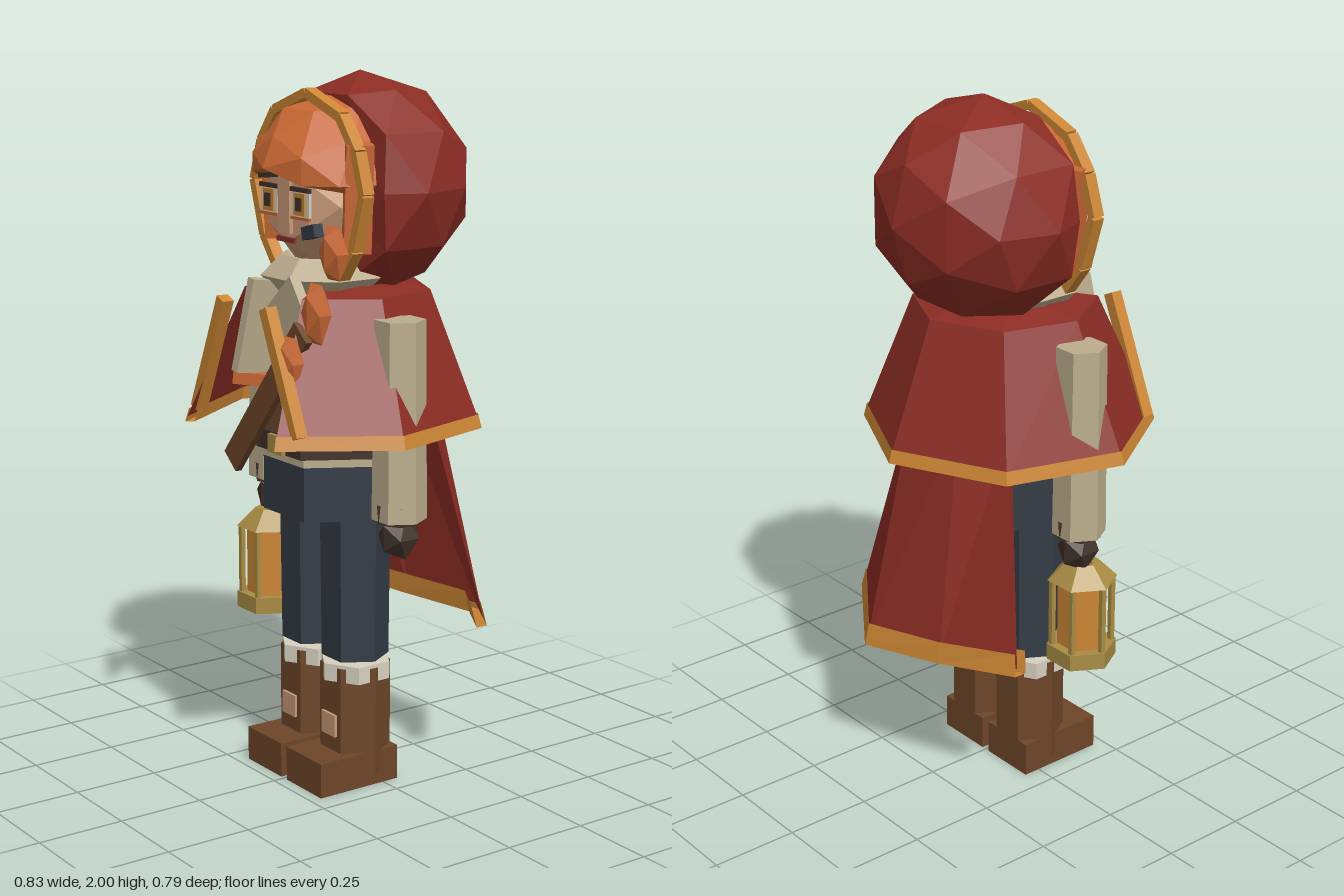
import * as THREE from 'three';

const mat = (name, color, side = THREE.FrontSide) => {
  const m = new THREE.MeshStandardMaterial({ color, flatShading: true, side });
  m.name = name;
  return m;
};

export function createModel() {
  const model = new THREE.Group();
  model.name = 'hoodedTraveller';
  const red = mat('cloak red', 0x8c2d24, THREE.DoubleSide);
  const gold = mat('gold trim', 0xcc8634, THREE.DoubleSide);
  const orange = mat('hair orange', 0xca6834);
  const skin = mat('skin', 0xcb9a78);
  const cream = mat('cream cloth', 0xbcad8d);
  const brown = mat('leather brown', 0x6e4629);
  const dark = mat('dark leather', 0x41312a);
  const navy = mat('trouser navy', 0x343c45);
  const white = mat('off white', 0xd6d0c0);
  const brass = mat('brass', 0xa98c44);

  // Helpers
  const add = (name, geo, material, x = 0, y = 0, z = 0, parent = model) => {
    const m = new THREE.Mesh(geo, material);
    m.name = name;
    m.position.set(x, y, z);
    parent.add(m);
    return m;
  };
  const box = (name, material, w, h, d, x, y, z, parent) =>
    add(name, new THREE.BoxGeometry(w, h, d), material, x, y, z, parent);
  // Hexagonal prism between two heights; a flat side faces the front unless turned
  const hex = (name, material, rTop, rBottom, y0, y1, x, z, parent, turn = Math.PI / 6) =>
    add(name, new THREE.CylinderGeometry(rTop, rBottom, y1 - y0, 6, 1, false, turn),
      material, x, (y0 + y1) / 2, z, parent);
  const beam = (name, material, a, b, w, d, parent) => {
    const p = new THREE.Vector3(...a), q = new THREE.Vector3(...b);
    const m = box(name, material, w, p.distanceTo(q), d, 0, 0, 0, parent);
    m.position.copy(p).lerp(q, 0.5);
    m.quaternion.setFromUnitVectors(new THREE.Vector3(0, 1, 0), q.sub(p).normalize());
    return m;
  };
  // Faceted ball whose points are moved by a rule
  const ball = (r, rule) => {
    const g = new THREE.IcosahedronGeometry(r, 1), p = g.attributes.position;
    const v = new THREE.Vector3();
    for (let i = 0; i < p.count; i++) {
      rule(v.fromBufferAttribute(p, i));
      p.setXYZ(i, v.x, v.y, v.z);
    }
    g.computeVertexNormals();
    return g;
  };
  // Surface through rows of points, first row uppermost, points running from +x to -x
  const loft = (rows) => {
    const pos = [];
    for (let r = 0; r < rows.length - 1; r++)
      for (let i = 0; i < rows[r].length - 1; i++) {
        const a = rows[r][i], b = rows[r][i + 1], c = rows[r + 1][i], d = rows[r + 1][i + 1];
        pos.push(...a, ...b, ...c, ...b, ...d, ...c);
      }
    const g = new THREE.BufferGeometry();
    g.setAttribute('position', new THREE.Float32BufferAttribute(pos, 3));
    g.computeVertexNormals();
    return g;
  };

  // Legs, boots and arms
  const BZ = 0.037;
  for (const s of [-1, 1]) {
    const leg = new THREE.Group();
    leg.name = s > 0 ? 'leftLeg' : 'rightLeg';
    model.add(leg);
    const x = s * 0.1;
    hex('trouserLeg', navy, 0.1, 0.095, 0.37, 0.86, x, BZ, leg);
    hex('bootShaft', brown, 0.1, 0.1, 0.03, 0.35, x, BZ, leg);
    hex('bootCuff', white, 0.106, 0.106, 0.31, 0.36, x, BZ, leg, 0);
    box('bootFoot', brown, 0.172, 0.1, 0.265, x, 0.05, 0.083, leg);
    box('bootPatch', skin, 0.065, 0.065, 0.009, x, 0.178, 0.127, leg);

    const arm = new THREE.Group();
    arm.name = s > 0 ? 'leftArm' : 'rightArm';
    model.add(arm);
    hex('sleeve', cream, 0.07, 0.076, 0.81, 1.36, s * 0.305, BZ, arm);
    hex('gloveCuff', dark, 0.07, 0.066, 0.8, 0.855, s * 0.3, BZ, arm, 0);
    add('glove', new THREE.IcosahedronGeometry(0.06, 0), dark, s * 0.303, 0.76, BZ, arm)
      .scale.y = 1.15;
  }

  // Torso, belt and strap
  hex('hips', navy, 0.2, 0.2, 0.78, 0.945, 0, BZ);
  hex('shirtHem', cream, 0.203, 0.203, 0.935, 0.96, 0, BZ);
  hex('vest', brown, 0.19, 0.198, 0.96, 1.28, 0, BZ);
  hex('shirt', cream, 0.16, 0.19, 1.28, 1.42, 0, BZ);
  hex('belt', dark, 0.22, 0.22, 0.96, 1.015, 0, BZ);
  box('buckle', brass, 0.07, 0.052, 0.03, 0, 0.986, 0.225);
  beam('shoulderStrap', brown, [-0.175, 0.91, 0.265], [0.18, 1.33, 0.265], 0.075, 0.02);

  // Scarf
  const scarf = add('scarf', new THREE.TorusGeometry(0.125, 0.055, 4, 8), cream, 0, 1.45, 0.07);
  scarf.rotation.set(Math.PI / 2, 0, Math.PI / 8);
  beam('scarfTail', cream, [-0.05, 1.44, 0.225], [-0.085, 1.18, 0.26], 0.11, 0.03);
  beam('scarfFold', cream, [0.12, 1.42, 0.23], [-0.02, 1.3, 0.225], 0.12, 0.03);
  beam('scarfTailStripe', orange, [-0.08, 1.18, 0.26], [-0.084, 1.145, 0.262], 0.1, 0.032);

  // Short shoulder cape: half the outline of its hem, mirrored
  const half = [[0.225, 0.39], [0.415, 0.1], [0.32, -0.235]];
  const hem = [...half, [0, -0.385], ...half.map(([x, z]) => [-x, z]).reverse()];
  const ring = (k, y) => hem.map(([x, z]) => [x * k, y, z * k]);
  add('shoulderCape', loft([ring(0.38, 1.43), ring(0.62, 1.41), ring(0.985, 1.045)]), red);
  add('shoulderCapeTrim', loft([ring(0.975, 1.068), ring(1, 1.03), ring(0.94, 1.03),
    ring(0.92, 1.068)]), gold);
  for (const s of [-1, 1])
    beam('frontCapeTrim', gold, [s * 0.105, 1.39, 0.328], [s * 0.25, 1.06, 0.328], 0.035, 0.035);

  // Long back cape, swept a little to one side
  const top = [[0.2, 1.15, -0.12], [0.08, 1.15, -0.24], [-0.1, 1.15, -0.22], [-0.2, 1.15, -0.12]];
  const low = [[0.36, 0.47, -0.225], [0.12, 0.425, -0.39], [-0.12, 0.44, -0.315], [-0.36, 0.47, -0.23]];
  const drop = (t, dz = 0) => top.map((a, i) => a.map((v, k) =>
    v + (low[i][k] - v) * t + (k === 2 ? dz : 0)));
  add('backCape', loft([drop(0), drop(0.97)]), red);
  add('backCapeTrim', loft([drop(0.91, -0.006), drop(1, -0.006), drop(1, 0.03),
    drop(0.91, 0.03)]), gold);

  // Hood, cut flat at the front, with a rim
  add('hood', ball(0.31, v => { v.z = Math.min(v.z, 0.11); }), red, 0, 1.69, -0.05);
  const rim = [[0, 1.945], [0.155, 1.89], [0.225, 1.8], [0.262, 1.69], [0.215, 1.54], [0.13, 1.43]];
  for (const s of [-1, 1])
    for (let i = 0; i < rim.length - 1; i++) {
      const [a, b] = [rim[i], rim[i + 1]];
      beam('hoodRim', gold, [s * a[0], a[1], 0.118], [s * b[0], b[1], 0.118], 0.026, 0.035);
    }

  // Head and face
  const head = new THREE.Group();
  head.name = 'head';
  model.add(head);
  add('face', ball(0.195, v => { v.z = Math.min(v.z, 0.165); }), skin, 0, 1.65, 0.03, head);
  box('nose', skin, 0.055, 0.2, 0.02, 0, 1.67, 0.195, head);
  box('mouth', red, 0.085, 0.014, 0.009, 0, 1.553, 0.196, head);
  for (const s of [-1, 1]) {
    const x = s * 0.075;
    box('eyeWhite', white, 0.082, 0.068, 0.009, x, 1.655, 0.197, head);
    box('iris', gold, 0.05, 0.06, 0.009, x, 1.655, 0.201, head);
    box('pupil', dark, 0.026, 0.036, 0.009, x, 1.655, 0.205, head);
    box('lowerLid', orange, 0.085, 0.008, 0.009, x, 1.617, 0.2, head);
    box('upperLid', dark, 0.09, 0.012, 0.009, x, 1.694, 0.2, head);
    box('eyebrow', dark, 0.095, 0.026, 0.009, x, 1.728, 0.202, head).rotation.z = -s * 0.1;
    beam('sideLock', orange, [s * 0.205, 1.82, 0.1], [s * 0.185, 1.53, 0.095], 0.05, 0.075, head);
  }

  // Fringe and braid
  add('fringe', ball(0.235, v => {
    const floor = 0.04 + 0.03 * Math.sin(v.x * 30) - 0.25 * Math.abs(v.x);
    v.y = Math.max(v.y, floor);
  }), orange, 0, 1.71, 0.037, head);
  const braid = [[0.165, 1.53, 0.155, 0.05, 1.7], [0.205, 1.38, 0.24, 0.05, 1.9], [0.17, 1.25, 0.3, 0.045, 1.8]];
  for (const [x, y, z, r, stretch] of braid)
    add('braidKnot', new THREE.IcosahedronGeometry(r, 0), orange, x, y, z).scale.set(1, stretch, 0.75);
  box('hairClip', navy, 0.06, 0.035, 0.03, 0.115, 1.585, 0.19).rotation.z = 0.25;
  box('braidTie', dark, 0.045, 0.025, 0.045, 0.165, 1.155, 0.3);
  add('braidTip', new THREE.ConeGeometry(0.026, 0.09, 5), gold, 0.165, 1.1, 0.3).rotation.x = Math.PI;

  // Lantern in the right hand
  const lantern = new THREE.Group();
  lantern.name = 'lantern';
  lantern.position.set(-0.303, 0, 0.055);
  model.add(lantern);
  hex('lanternBase', brass, 0.1, 0.1, 0.412, 0.46, 0, 0, lantern);
  hex('lanternGlass', gold, 0.07, 0.07, 0.46, 0.66, 0, 0, lantern);
  hex('lanternRoof', brass, 0.045, 0.1, 0.66, 0.715, 0, 0, lantern);
  for (let i = 0; i < 6; i++) {
    const a = i * Math.PI / 3;
    box('lanternPost', brass, 0.014, 0.2, 0.014, 0.085 * Math.cos(a), 0.56, 0.085 * Math.sin(a), lantern);
  }
  add('lanternHandle', new THREE.TorusGeometry(0.035, 0.008, 4, 8), brass, 0, 0.725, 0, lantern);

  return model;
}
